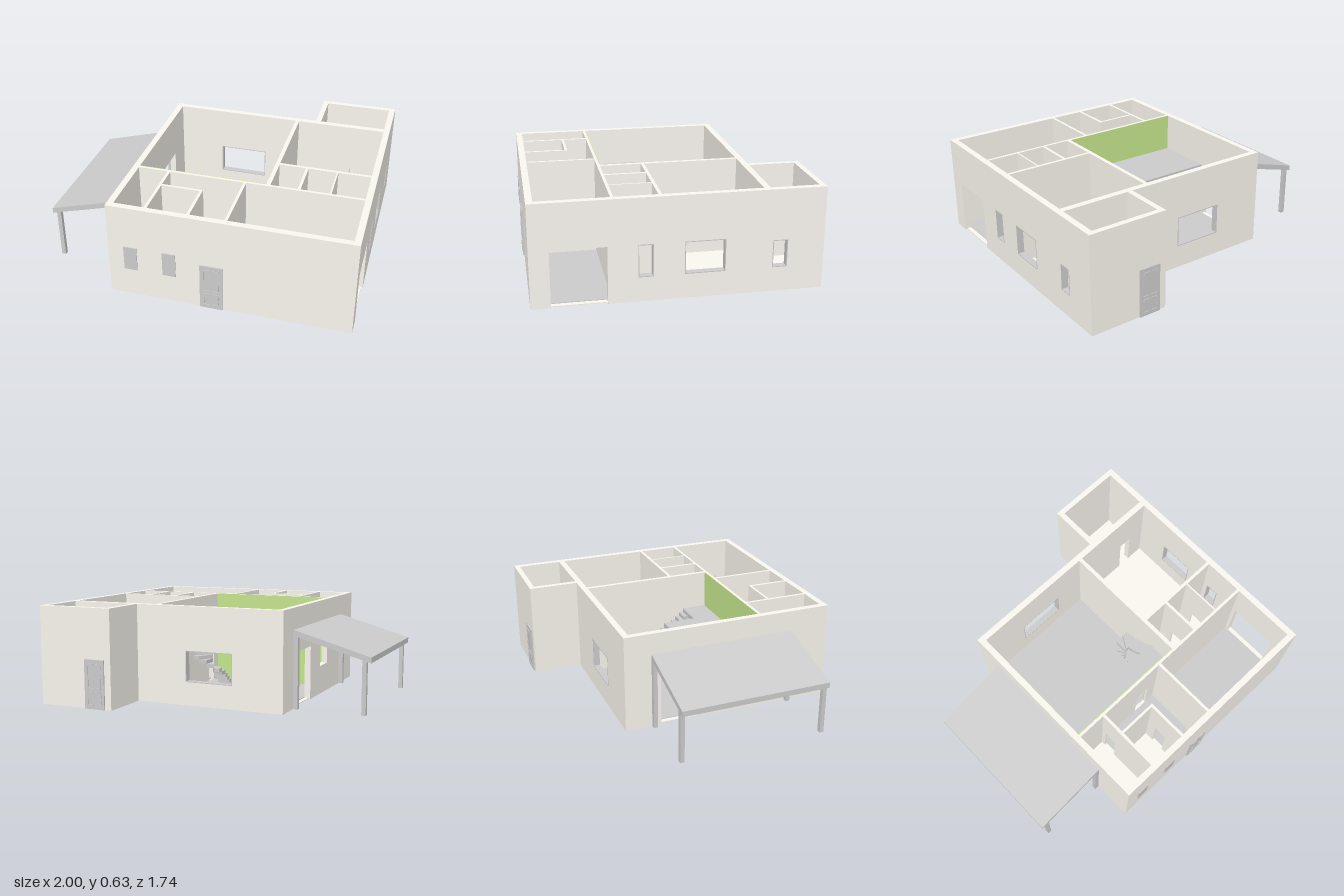
import * as THREE from 'three';

const GREY = new THREE.MeshStandardMaterial({ color: 0xcccccc });
const BEIGE = new THREE.MeshStandardMaterial({ color: 0xfaf6ef });
const GREEN = new THREE.MeshStandardMaterial({ color: 0xc4e68c });
const H = 0.63;

export function createModel() {
  const house = new THREE.Group();
  house.name = 'house';

  const add = (name, geo, mat, parent = house) => {
    const m = new THREE.Mesh(geo, mat);
    m.name = name;
    parent.add(m);
    return m;
  };
  // Box given by its limits
  const box = (name, x0, x1, y0, y1, z0, z1, mat = GREY, parent = house) => {
    const m = add(name, new THREE.BoxGeometry(x1 - x0, y1 - y0, z1 - z0), mat, parent);
    m.position.set((x0 + x1) / 2, (y0 + y1) / 2, (z0 + z1) / 2);
    return m;
  };
  // Horizontal plate from a plan outline of [x, z] points
  const plate = (name, pts, top, thick, mat = GREY, parent = house) => {
    const shape = new THREE.Shape(pts.map(p => new THREE.Vector2(...p)));
    const m = add(name, new THREE.ExtrudeGeometry(shape, { depth: thick, bevelEnabled: false }), mat, parent);
    m.rotation.x = Math.PI / 2;
    m.position.y = top;
    return m;
  };
  // Wall along an axis from a to b, side faces at c and c + t.
  // Openings are [from, to, bottom, top]; bottom 0 makes a doorway.
  const wall = (name, axis, a, b, c, t, openings = [], mat = BEIGE) => {
    const shape = new THREE.Shape().moveTo(a, 0);
    for (const [p, q, lo, hi] of openings) {
      if (lo === 0) {
        shape.lineTo(p, 0).lineTo(p, hi).lineTo(q, hi).lineTo(q, 0);
      } else {
        shape.holes.push(new THREE.Path().moveTo(p, lo).lineTo(p, hi).lineTo(q, hi).lineTo(q, lo).closePath());
      }
    }
    shape.lineTo(b, 0).lineTo(b, H).lineTo(a, H).closePath();
    const m = add(name, new THREE.ExtrudeGeometry(shape, { depth: t, bevelEnabled: false }), mat);
    if (axis === 'x') m.position.z = c;
    else {
      m.rotation.y = -Math.PI / 2;
      m.position.x = c + t;
    }
  };

  // Outer walls
  const rightWindows = [[-0.64, -0.55, 0.15, 0.32], [-0.27, -0.03, 0.15, 0.35], [0.15, 0.24, 0.15, 0.35]];
  const backWindow = [-0.175, 0.145, 0.15, 0.35];
  wall('frontWall', 'x', -0.51, 1, 0.815, 0.04);
  wall('rightSideWall', 'z', -0.86, 0.815, 0.96, 0.04, [...rightWindows, [0.415, 0.74, 0, 0.35]]);
  wall('leftSideWall', 'z', -0.495, 0.815, -0.51, 0.04, [[-0.3, -0.04, 0, 0.35], [0.15, 0.3, 0.19, 0.35]]);
  wall('backWall', 'x', -0.51, 0.96, -0.535, 0.04, [backWindow, [0.75, 0.84, 0, 0.31]]);
  wall('extensionSideWall', 'z', -0.825, -0.535, 0.49, 0.035);
  wall('extensionBackWall', 'x', 0.49, 0.96, -0.86, 0.035);

  // Partitions
  const hallDoor = [[0.04, 0.14, 0, 0.31]];
  const innerDoor = [[0.215, 0.3, 0, 0.305]];
  wall('middlePartition', 'x', -0.47, 0.96, 0.372, 0.018, hallDoor);
  wall('mainRoomPartition', 'z', -0.495, 0.372, 0.352, 0.026, innerDoor);
  wall('bedroomPartition', 'x', 0.378, 0.96, 0.098, 0.02);
  wall('closetPartition', 'z', 0.118, 0.372, 0.547, 0.018, innerDoor);
  wall('bathPartition', 'z', 0.118, 0.372, 0.744, 0.01, innerDoor);
  wall('frontRoomPartition', 'z', 0.39, 0.815, -0.28, 0.018, [[0.42, 0.51, 0, 0.31]]);
  wall('garagePartition', 'z', 0.39, 0.815, 0.212, 0.018);
  wall('smallRoomPartition', 'x', -0.262, 0, 0.54, 0.016);
  wall('smallRoomSidePartition', 'z', 0.556, 0.815, -0.018, 0.018, [[0.62, 0.71, 0, 0.31]]);
  wall('greenAccentWall', 'x', -0.47, 0.352, 0.368, 0.004, hallDoor, GREEN);

  // Floors
  plate('baseFloor', [[-0.5, 0.85], [0.99, 0.85], [0.99, -0.85], [0.5, -0.85], [0.5, -0.525], [-0.5, -0.525]],
    0.008, 0.005, BEIGE);
  plate('mainRoomFloor', [[-0.47, -0.495], [0.352, -0.495], [0.352, 0.368], [-0.47, 0.368]], 0.012, 0.012);
  plate('hallFloor', [[-0.262, 0.39], [0.212, 0.39], [0.212, 0.815], [0, 0.815], [0, 0.54], [-0.262, 0.54]], 0.012, 0.012);
  plate('garageFloor', [[0.23, 0.39], [0.96, 0.39], [0.96, 0.815], [0.23, 0.815]], 0.012, 0.012);
  plate('closetFloor', [[0.378, 0.118], [0.547, 0.118], [0.547, 0.372], [0.378, 0.372]], 0.012, 0.012);

  // Loft with a notch for the stairs
  const loftTop = 0.38;
  plate('loft', [[-0.47, -0.02], [0.155, -0.02], [0.155, 0.2], [0.352, 0.2], [0.352, 0.368], [-0.47, 0.368]],
    loftTop, 0.035);

  // U-shaped stairs: straight flight, six winders, straight flight
  const stairs = new THREE.Group();
  stairs.name = 'stairs';
  house.add(stairs);
  const rise = loftTop / 15, cx = 0.2525, cz = 0.08, hw = 0.0975, hd = 0.1;
  const rim = a => {
    const c = -Math.cos(a), s = -Math.sin(a);
    const k = Math.min(hw / Math.max(Math.abs(c), 1e-6), hd / Math.max(Math.abs(s), 1e-6));
    return [cx + c * k, cz + s * k];
  };
  for (let i = 0; i < 4; i++) {
    const zl = 0.2 - i * 0.03, zr = cz + i * 0.03;
    const yl = (i + 1) * rise, yr = (i + 11) * rise;
    box('lowerStep', 0.155, 0.243, yl - rise, yl, zl - 0.03, zl, GREY, stairs);
    box('upperStep', 0.262, 0.35, yr - rise, yr, zr, zr + 0.03, GREY, stairs);
  }
  for (let i = 0; i < 6; i++) {
    const pts = [[cx, cz], rim(i * Math.PI / 6)];
    if (i === 1) pts.push([cx - hw, cz - hd]);
    if (i === 4) pts.push([cx + hw, cz - hd]);
    pts.push(rim((i + 1) * Math.PI / 6));
    plate('winderStep', pts, (i + 5) * rise, rise, GREY, stairs);
  }

  // Thin frames lining the window openings
  const frame = (axis, [a, b, lo, hi], c) => {
    const g = new THREE.Group();
    g.name = 'windowFrame';
    const w = 0.005, d = 0.042;
    box('frameSill', a, b, lo, lo + w, 0, d, GREY, g);
    box('frameHead', a, b, hi - w, hi, 0, d, GREY, g);
    box('frameJamb', a, a + w, lo + w, hi - w, 0, d, GREY, g);
    box('frameJamb', b - w, b, lo + w, hi - w, 0, d, GREY, g);
    if (axis === 'x') g.position.z = c;
    else {
      g.rotation.y = -Math.PI / 2;
      g.position.x = c + d;
    }
    house.add(g);
  };
  rightWindows.forEach(o => frame('z', o, 0.959));
  frame('x', backWindow, -0.536);

  // Shutter panels on the front
  for (const x of [-0.41, -0.165]) box('frontWindowPanel', x, x + 0.083, 0.19, 0.35, 0.85, 0.861);

  // Outside doors with broken mouldings around two panels
  const door = (name, x, z, turn) => {
    const g = new THREE.Group();
    g.name = name;
    box('doorLeaf', -0.07, 0.07, 0, 0.31, -0.005, 0.008, GREY, g);
    for (const [lo, hi] of [[0.02, 0.11], [0.125, 0.285]]) {
      const mid = (lo + hi) / 2;
      for (const s of [-1, 1]) {
        for (const y of [lo, hi - 0.008]) box('doorMoulding', s * 0.028 - 0.02, s * 0.028 + 0.02, y, y + 0.008, 0.008, 0.012, GREY, g);
        for (const [p, q] of [[lo + 0.012, mid - 0.005], [mid + 0.005, hi - 0.012]])
          box('doorMoulding', s * 0.046 - 0.004, s * 0.046 + 0.004, p, q, 0.008, 0.012, GREY, g);
      }
    }
    g.position.set(x, 0, z);
    g.rotation.y = turn;
    house.add(g);
  };
  door('frontDoor', 0.14, 0.855, 0);
  door('backDoor', 0.605, -0.86, Math.PI);

  // Sloping carport roof on four posts
  const roof = new THREE.Shape([[-1, 0.32], [-0.51, 0.457], [-0.51, 0.495], [-1, 0.355]].map(p => new THREE.Vector2(...p)));
  add('carportRoof', new THREE.ExtrudeGeometry(roof, { depth: 0.955, bevelEnabled: false }), GREY).position.z = -0.36;
  for (const z of [-0.36, 0.568]) {
    box('outerPost', -0.972, -0.945, 0, 0.335, z, z + 0.027);
    box('innerPost', -0.54, -0.51, 0, 0.455, z, z + 0.027);
  }
  return house;
}
